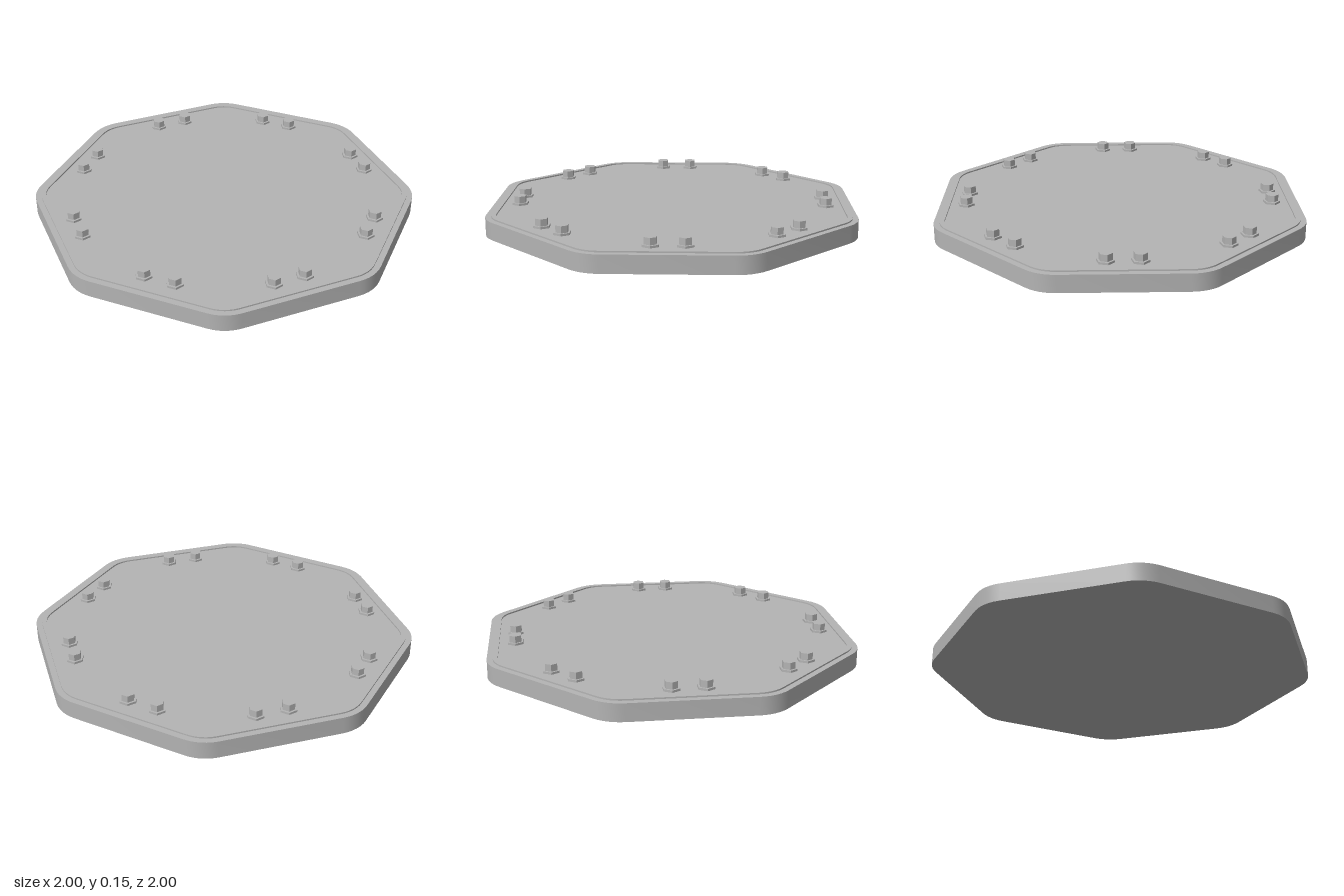
import * as THREE from 'three';
import { toCreasedNormals } from 'three/addons/utils/BufferGeometryUtils.js';

const CREASE = 0.4;

// Octagon with rounded corners; apothem is the distance from centre to a flat side
function roundedOctagon(path, apothem, radius, steps = 6) {
  const centre = (apothem - radius) / Math.cos(Math.PI / 8);
  const points = [];
  for (let i = 0; i < 8; i++) {
    const corner = Math.PI / 8 + i * Math.PI / 4;
    for (let s = 0; s <= steps; s++) {
      const a = corner + (s / steps - 0.5) * Math.PI / 4;
      points.push(new THREE.Vector2(
        centre * Math.cos(corner) + radius * Math.cos(a),
        centre * Math.sin(corner) + radius * Math.sin(a)));
    }
  }
  return path.setFromPoints(points);
}

// Upright slab from a flat outline
function slab(shape, y, height) {
  const geometry = new THREE.ExtrudeGeometry(shape, { depth: height, bevelEnabled: false });
  geometry.rotateX(-Math.PI / 2).translate(0, y, 0);
  return toCreasedNormals(geometry, CREASE);
}

// Hexagonal prism with two corners on the x axis
function hexPrism(radius, y, height) {
  const geometry = new THREE.CylinderGeometry(radius, radius, height, 6, 1, false, Math.PI / 2);
  geometry.translate(0, y + height / 2, 0);
  return toCreasedNormals(geometry, CREASE);
}

export function createModel() {
  const model = new THREE.Group();
  model.name = 'boltedOctagonalPlate';
  const metal = new THREE.MeshStandardMaterial({ color: 0xb4b4b4 });
  metal.name = 'grey metal';

  const add = (parent, name, geometry) => {
    const mesh = new THREE.Mesh(geometry, metal);
    mesh.name = name;
    parent.add(mesh);
  };

  // Main plate
  const top = 0.097;
  add(model, 'plate', slab(roundedOctagon(new THREE.Shape(), 1, 0.22), 0, top));

  // Slim raised rim set in from the edge
  const ring = roundedOctagon(new THREE.Shape(), 0.968, 0.19);
  ring.holes.push(roundedOctagon(new THREE.Path(), 0.942, 0.165));
  add(model, 'raisedRim', slab(ring, top, 0.008));

  // A pair of flanged bolts along each of the eight sides
  const flange = hexPrism(0.048, top, 0.012);
  const head = hexPrism(0.036, top + 0.012, 0.037);
  for (let i = 0; i < 8; i++) {
    const a = i * Math.PI / 4;
    for (const side of [-1, 1]) {
      const bolt = new THREE.Group();
      bolt.name = 'bolt';
      const along = side * 0.086;
      bolt.position.set(
        0.853 * Math.cos(a) - along * Math.sin(a), 0,
        0.853 * Math.sin(a) + along * Math.cos(a));
      add(bolt, 'boltFlange', flange);
      add(bolt, 'boltHead', head);
      model.add(bolt);
    }
  }
  return model;
}
